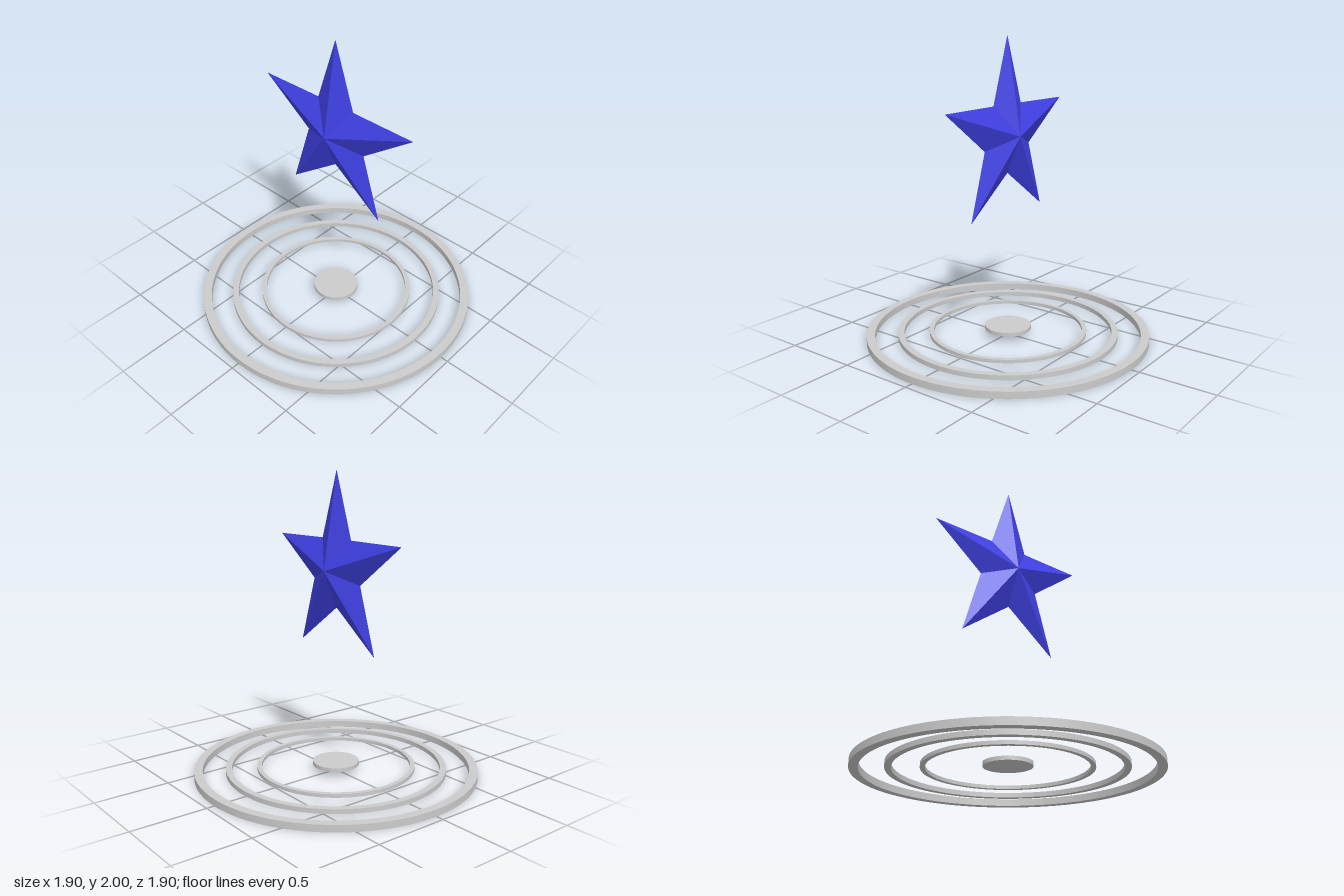
import * as THREE from 'three';
import { toCreasedNormals } from 'three/addons/utils/BufferGeometryUtils.js';

const grey = new THREE.MeshStandardMaterial({ color: 0xcccccc });
const blue = new THREE.MeshStandardMaterial({ color: 0x4040e6, flatShading: true });

// Turned part from a closed profile, with crisp rims
function turned(name, profile) {
  const points = profile.map(([r, y]) => new THREE.Vector2(r, y));
  const geometry = toCreasedNormals(new THREE.LatheGeometry(points, 128), 0.6);
  const mesh = new THREE.Mesh(geometry, grey);
  mesh.name = name;
  return mesh;
}

function ring(name, inner, outer, y0, y1) {
  return turned(name, [[outer, y0], [outer, y1], [inner, y1], [inner, y0], [outer, y0]]);
}

// Faceted five-pointed star standing in the yz plane, ridged on both sides
function star(outer, inner, depth) {
  const rim = [];
  for (let i = 0; i < 10; i++) {
    const a = (i * Math.PI) / 5;
    const r = i % 2 ? inner : outer;
    rim.push([0, r * Math.cos(a), r * Math.sin(a)]);
  }
  const positions = [];
  rim.forEach((p, i) => {
    const q = rim[(i + 1) % rim.length];
    positions.push(depth, 0, 0, ...p, ...q);
    positions.push(-depth, 0, 0, ...q, ...p);
  });
  const geometry = new THREE.BufferGeometry();
  geometry.setAttribute('position', new THREE.Float32BufferAttribute(positions, 3));
  geometry.computeVertexNormals();
  const mesh = new THREE.Mesh(geometry, blue);
  mesh.name = 'star';
  return mesh;
}

export function createModel() {
  const model = new THREE.Group();
  model.name = 'floatingStar';

  // Concentric floor rings, thinner towards the middle
  model.add(ring('outerRing', 0.892, 0.948, 0, 0.046));
  model.add(ring('middleRing', 0.699, 0.74, 0.015, 0.046));
  model.add(ring('innerRing', 0.5, 0.53, 0.026, 0.049));

  // Central disc
  model.add(turned('centerDisc', [[0, 0.043], [0.155, 0.043], [0.155, 0.068], [0, 0.068]]));

  // Hovering star
  const hoveringStar = star(0.637, 0.247, 0.105);
  hoveringStar.position.set(-0.005, 1.363, 0);
  model.add(hoveringStar);

  return model;
}
